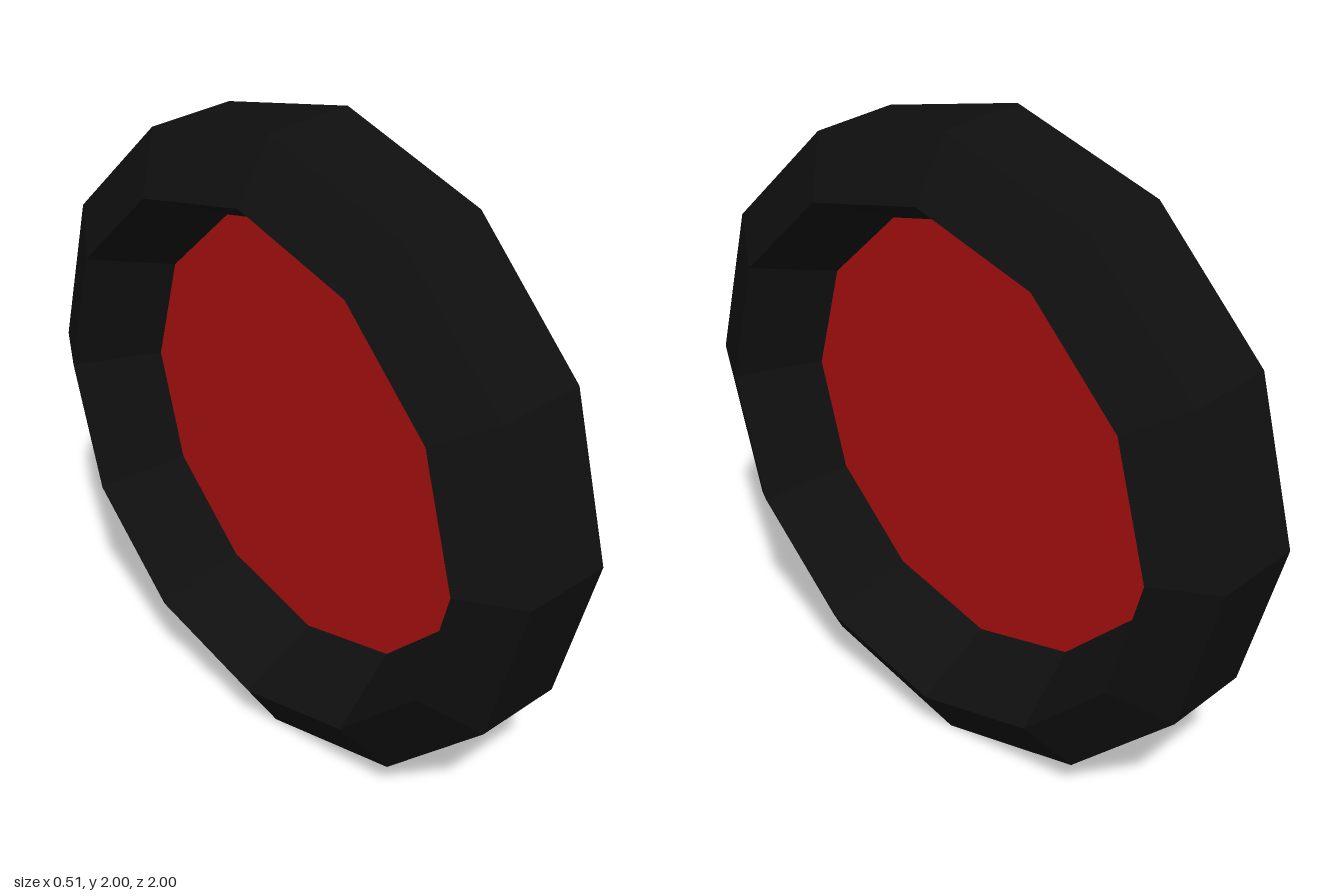
import * as THREE from 'three';

const SIDES = 12;

export function createModel() {
  const model = new THREE.Group();
  model.name = 'wheel';

  const rubber = new THREE.MeshStandardMaterial({ color: 0x0f0f0f });
  rubber.name = 'black rubber';
  const paint = new THREE.MeshStandardMaterial({ color: 0xa50f0f });
  paint.name = 'red hub';

  // Tyre: five-sided section (radius, offset along the axle), turned in 12 flat steps
  const section = [
    [0.695, 0], [0.82, -0.254], [1, -0.142], [1, 0.142], [0.82, 0.254], [0.695, 0],
  ].map(([r, x]) => new THREE.Vector2(r, x));
  const tyreGeometry = new THREE.LatheGeometry(section, SIDES).toNonIndexed();
  tyreGeometry.computeVertexNormals();
  tyreGeometry.rotateZ(Math.PI / 2);
  const tyre = new THREE.Mesh(tyreGeometry, rubber);
  tyre.name = 'tyre';
  tyre.position.y = 1;
  model.add(tyre);

  // Hub: a flat disc on the centre plane, one face for each side
  for (const side of [1, -1]) {
    const hub = new THREE.Mesh(new THREE.CircleGeometry(0.697, SIDES), paint);
    hub.name = side > 0 ? 'leftHubDisc' : 'rightHubDisc';
    hub.rotation.y = side * Math.PI / 2;
    hub.position.set(side * 0.002, 1, 0);
    model.add(hub);
  }

  return model;
}
